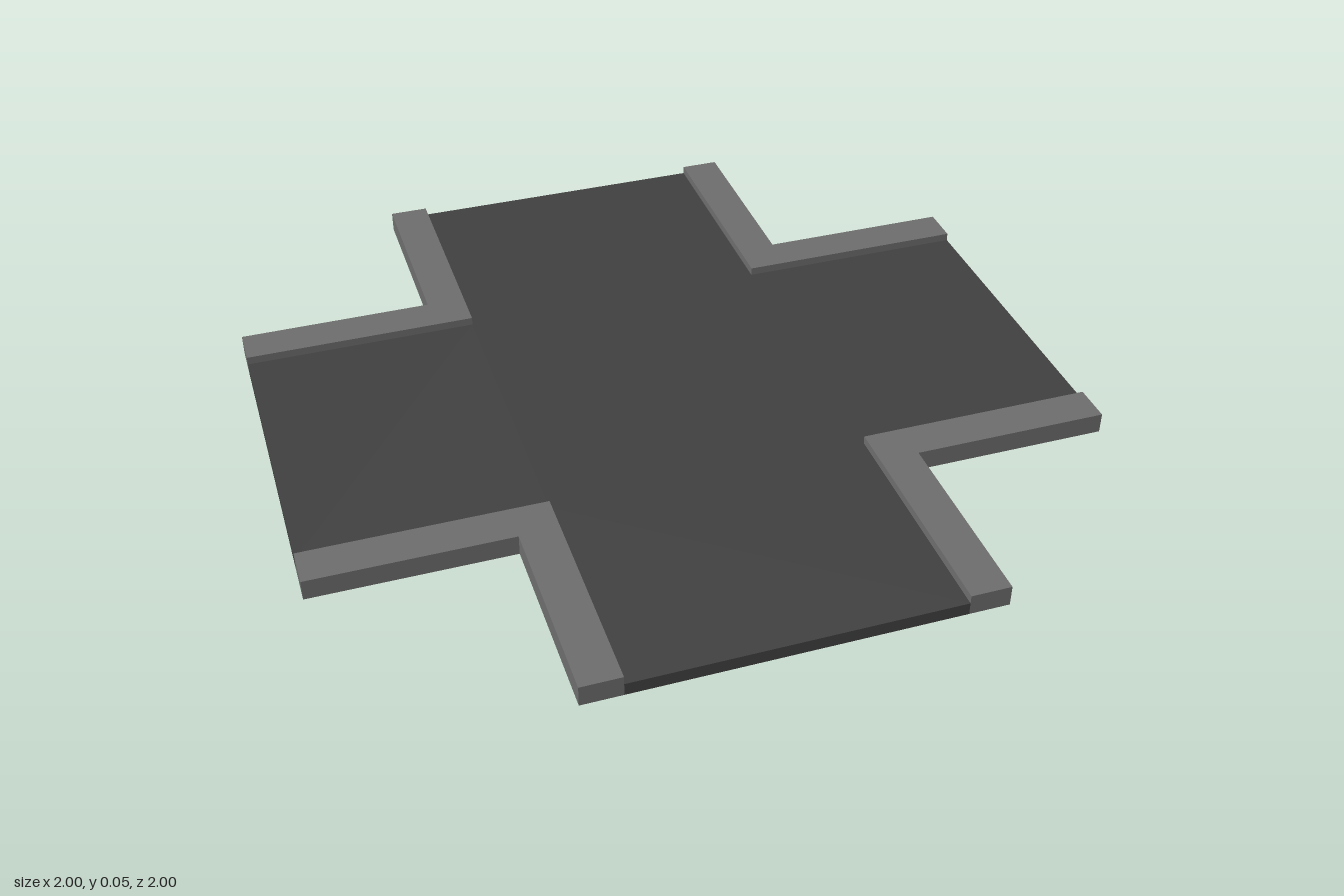
import * as THREE from 'three';

const HALF = 1, INNER = 0.4, OUTER = 0.5;
const ROAD_TOP = 0.033, CURB_TOP = 0.054, SKIN = 0.001;

const shapeFrom = (pts) => new THREE.Shape(pts.map(([x, y]) => new THREE.Vector2(x, y)));

// Plus-shaped outline with arms of half width w
const cross = (w) => shapeFrom([
  [w, -HALF], [w, -w], [HALF, -w], [HALF, w], [w, w], [w, HALF],
  [-w, HALF], [-w, w], [-HALF, w], [-HALF, -w], [-w, -w], [-w, -HALF],
]);

// Flat slab standing between two heights
function slab(shape, bottom, top) {
  const geo = new THREE.ExtrudeGeometry(shape, { depth: top - bottom, bevelEnabled: false });
  return geo.rotateX(-Math.PI / 2).translate(0, bottom, 0);
}

function addPart(parent, name, geo, material) {
  const mesh = new THREE.Mesh(geo, material);
  mesh.name = name;
  parent.add(mesh);
  return mesh;
}

export function createModel() {
  const group = new THREE.Group();
  group.name = 'crossroads';
  const asphalt = new THREE.MeshStandardMaterial({ color: 0x404040 });
  const concrete = new THREE.MeshStandardMaterial({ color: 0x6c6c6c });

  // Road surface
  addPart(group, 'road', slab(cross(INNER), SKIN, ROAD_TOP), asphalt);

  // One dark underside below road and curbs
  addPart(group, 'underside', new THREE.ShapeGeometry(cross(OUTER)).rotateX(Math.PI / 2), asphalt);

  // L-shaped curb in each corner
  const curb = slab(shapeFrom([
    [INNER, INNER], [HALF, INNER], [HALF, OUTER],
    [OUTER, OUTER], [OUTER, HALF], [INNER, HALF],
  ]), SKIN, CURB_TOP);
  ['backLeft', 'backRight', 'frontRight', 'frontLeft'].forEach((corner, i) => {
    addPart(group, `${corner}Curb`, curb, concrete).rotation.y = i * Math.PI / 2;
  });

  return group;
}
